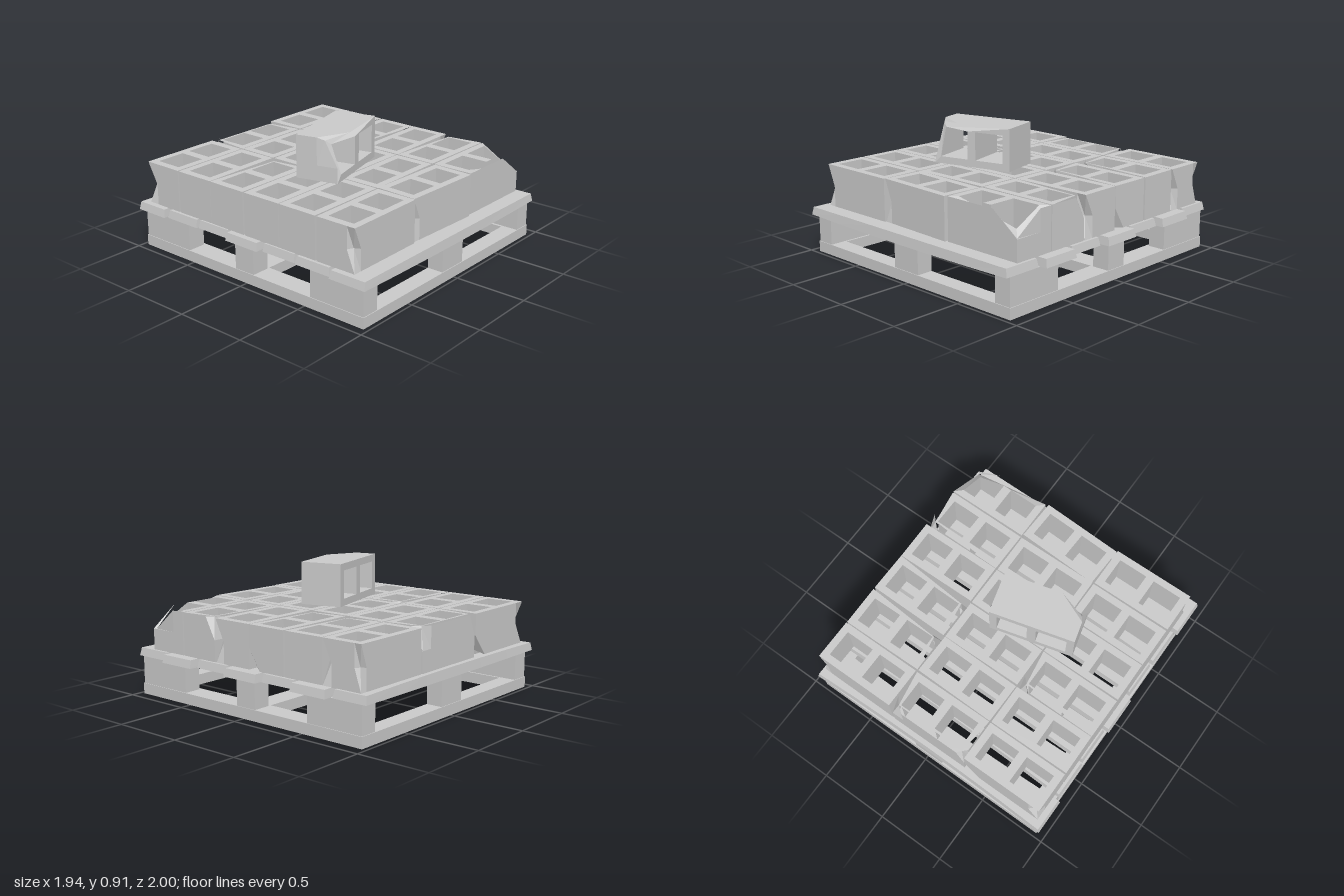
import * as THREE from 'three';

const material = new THREE.MeshStandardMaterial({ color: 0xcccccc, flatShading: true });
const W = 0.595, D = 0.295, H = 0.297; // concrete block: width, depth, length along its holes

function mesh(name, geometry, x = 0, y = 0, z = 0) {
  const m = new THREE.Mesh(geometry, material);
  m.name = name;
  m.position.set(x, y, z);
  return m;
}

function box(name, x0, x1, y0, y1, z0, z1) {
  return mesh(name, new THREE.BoxGeometry(x1 - x0, y1 - y0, z1 - z0),
    (x0 + x1) / 2, (y0 + y1) / 2, (z0 + z1) / 2);
}

// Two-hole block, holes along z. Each chip breaks one corner (sx, sy):
// at = 0 / 0.5 / 1 along the length, size = reach along the edges,
// cut = how far the corner moves inward, drop = how far it moves along the length.
function blockGeometry(chips = []) {
  const hx = W / 2, hy = D / 2;
  const shape = new THREE.Shape();
  for (const [sx, sy] of [[-1, -1], [1, -1], [1, 1], [-1, 1]]) {
    const chip = chips.find((c) => c.sx === sx && c.sy === sy);
    const r = chip ? chip.size : 0;
    const alongX = [sx * (hx - r), sy * hy], alongY = [sx * hx, sy * (hy - r)];
    const points = r ? [alongX, [sx * hx, sy * hy], alongY] : [[sx * hx, sy * hy]];
    if (sx * sy < 0 && r) points.reverse();
    // counter-clockwise order: reach each corner along one edge, leave along the other
    if (r) points.reverse();
    points.forEach(([x, y]) => (shape.curves.length || shape.started ? shape.lineTo(x, y) : shape.moveTo(x, y), shape.started = true));
  }
  shape.closePath();
  for (const cx of [-0.138, 0.138]) {
    const a = 0.107, b = 0.098;
    const hole = new THREE.Path();
    hole.moveTo(cx - a, -b).lineTo(cx - a, b).lineTo(cx + a, b).lineTo(cx + a, -b).closePath();
    shape.holes.push(hole);
  }
  const geometry = new THREE.ExtrudeGeometry(shape, { depth: H, steps: 2, bevelEnabled: false });
  const p = geometry.attributes.position;
  for (let i = 0; i < p.count; i++) {
    const x = p.getX(i), y = p.getY(i), z = p.getZ(i);
    for (const { sx, sy, at, cut, drop } of chips) {
      if (Math.abs(z - at * H) > 0.001) continue;
      const dir = at === 0 ? 1 : -1;
      if (Math.abs(x - sx * hx) < 0.001 && Math.abs(y - sy * hy) < 0.001) {
        p.setXYZ(i, x - sx * cut, y - sy * cut, z + dir * drop);
      } else if (drop > 0.05 && Math.abs(x - sx * 0.245) < 0.001 && Math.abs(y - sy * 0.098) < 0.001) {
        p.setZ(i, z + dir * drop * 0.7); // inner wall breaks away as well
      }
    }
  }
  geometry.computeVertexNormals();
  return geometry;
}

// Worn board: bottom edges flare out, the middle is narrower and sags a little
function plankGeometry(length, width, wear) {
  const geometry = new THREE.BoxGeometry(length, 0.055, width, 6, 1, 1);
  const p = geometry.attributes.position;
  for (let i = 0; i < p.count; i++) {
    const x = p.getX(i), y = p.getY(i), z = p.getZ(i);
    const middle = 1 - (2 * x / length) ** 2;
    const top = y > 0;
    p.setX(i, x - (top ? Math.sign(x) * 0.012 : 0));
    p.setY(i, y - (top ? 0 : 0.012 * middle));
    p.setZ(i, z - Math.sign(z) * (wear * middle + (top ? 0.008 : 0)));
  }
  geometry.computeVertexNormals();
  return geometry;
}

function createPallet() {
  const pallet = new THREE.Group();
  pallet.name = 'pallet';
  // Ground frame
  for (const [z0, z1] of [[-0.97, -0.85], [-0.1, 0.06], [0.85, 0.97]]) {
    pallet.add(box('bottomCrossBar', -0.94, 0.92, 0, 0.075, z0, z1));
  }
  for (const [x0, x1] of [[-0.94, -0.79], [0.77, 0.92]]) {
    for (const [z0, z1] of [[-0.85, -0.1], [0.06, 0.85]]) {
      pallet.add(box('bottomSideBar', x0, x1, 0, 0.075, z0, z1));
    }
  }
  // Spacer blocks
  for (const [x0, x1] of [[-0.935, -0.805], [0.79, 0.915]]) {
    for (const [z0, z1] of [[-0.965, -0.54], [-0.1, 0.06], [0.545, 0.965]]) {
      pallet.add(box('sideSpacer', x0, x1, 0.075, 0.268, z0, z1));
    }
  }
  for (const [z0, z1] of [[-0.965, -0.85], [0.85, 0.965]]) {
    pallet.add(box('middleSpacer', -0.125, 0.1, 0.075, 0.268, z0, z1));
  }
  // Deck boards: x0, x1, z0, z1, wear
  const boards = [
    [-0.97, 0.92, -1, -0.745, 0.02], [-0.95, 0.97, -0.725, -0.445, 0.018],
    [-0.94, 0.92, -0.435, -0.165, 0.004], [-0.97, 0.97, -0.155, 0.125, 0.002],
    [-0.94, 0.92, 0.15, 0.42, 0.006], [-0.95, 0.97, 0.435, 0.71, 0.014],
    [-0.97, 0.92, 0.725, 1, 0.002],
  ];
  for (const [x0, x1, z0, z1, wear] of boards) {
    pallet.add(mesh('deckBoard', plankGeometry(x1 - x0, z1 - z0, wear),
      (x0 + x1) / 2, 0.295, (z0 + z1) / 2));
  }
  return pallet;
}

// Shape y points to -z once a block stands upright, so front corners use sy = -1
const chip = (sx, front, at, size, cut = 0.04, drop = 0) => ({ sx, sy: -front, at, size, cut, drop });

function createStack() {
  const stack = new THREE.Group();
  stack.name = 'blockStack';
  const columns = [-0.62, -0.015, 0.592];
  const rows = [-0.79, -0.485, -0.182, 0.122, 0.425, 0.732];
  const tilts = [
    [0, 0.008, -0.006, 0.006, 0, 0.006],
    [0.006, -0.012, 0.008, 0, 0.008, -0.04],
    [0, 0.012, -0.01, 0.01, -0.008, 0],
  ];
  const chips = {
    '0,0': [chip(1, -1, 0, 0.12, 0.045, 0.04), chip(-1, -1, 0.5, 0.08)],
    '1,0': [chip(1, -1, 1, 0.09), chip(-1, -1, 1, 0.06, 0.03)],
    '2,0': [chip(1, 1, 0.5, 0.07), chip(1, -1, 0.5, 0.05, 0.03)],
    '2,1': [chip(-1, 1, 1, 0.1, 0.045)],
    '0,2': [chip(1, -1, 1, 0.08)],
    '2,2': [chip(-1, 1, 1, 0.08), chip(1, 1, 0, 0.09)],
    '2,3': [chip(1, 1, 0.5, 0.07)],
    '2,4': [chip(1, -1, 1, 0.08)],
    '0,5': [chip(-1, 1, 0.5, 0.06)],
    '1,5': [chip(-1, 1, 0.5, 0.06, 0.03)],
    '2,5': [chip(1, 1, 1, 0.2, 0.015, 0.15)],
  };
  columns.forEach((x, c) => rows.forEach((z, r) => {
    const block = mesh('concreteBlock', blockGeometry(chips[`${c},${r}`]), x, 0.32, z);
    block.rotation.set(-Math.PI / 2, 0, tilts[c][r]);
    stack.add(block);
  }));
  return stack;
}

// Loose block lying on its side, with its upper front corner broken
function createLooseBlock() {
  const geometry = blockGeometry([{ sx: -1, sy: 1, at: 1, size: 0.19, cut: 0.02, drop: 0.1 }]);
  geometry.translate(0, 0, -H / 2);
  const block = mesh('looseBlock', geometry, -0.175, 0.617 + D / 2, 0.115);
  block.rotation.y = 0.26;
  return block;
}

export function createModel() {
  const model = new THREE.Group();
  model.name = 'palletOfBlocks';
  model.add(createPallet(), createStack(), createLooseBlock());
  return model;
}
